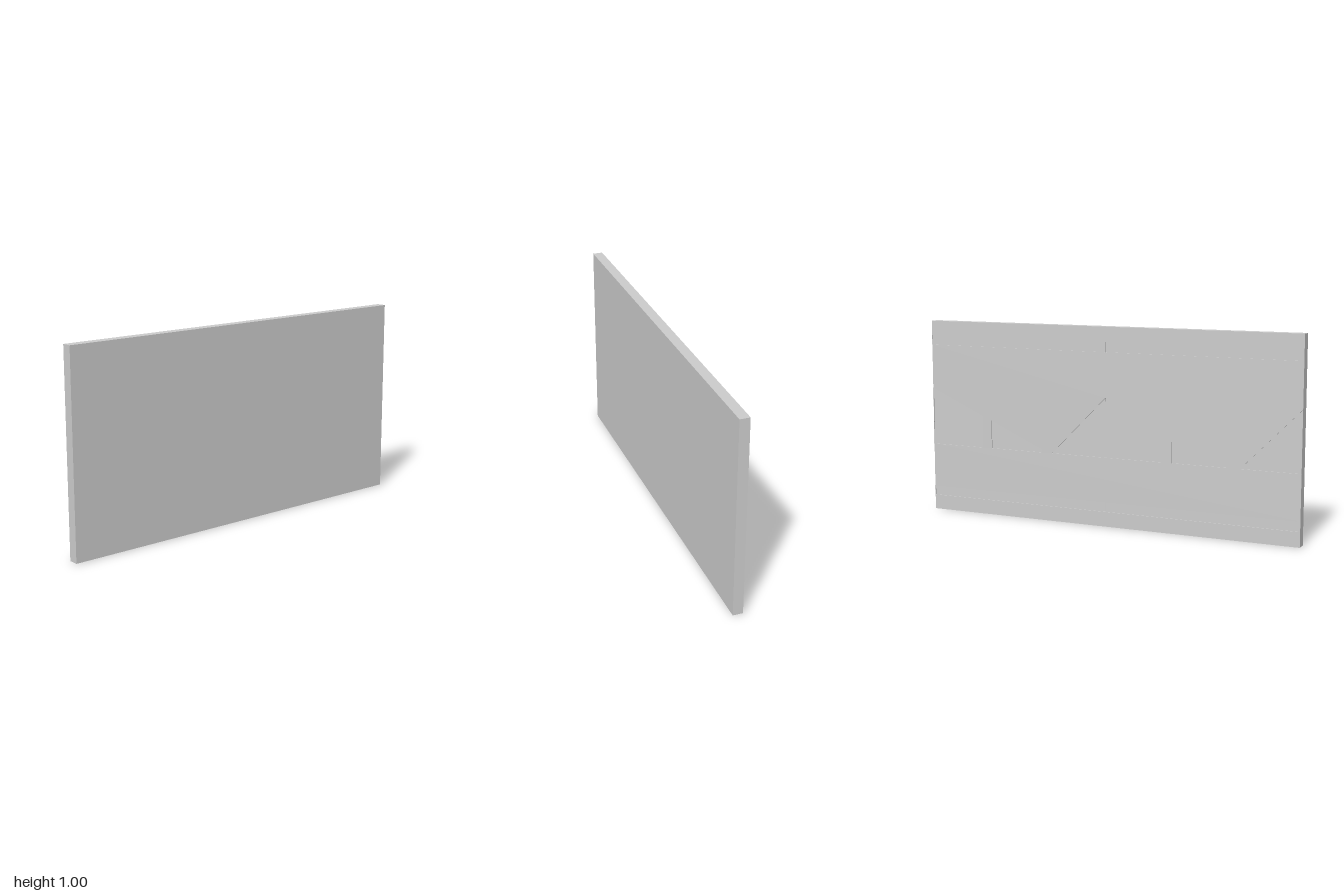
import * as THREE from 'three';

const W = 2, H = 1, T = 0.05; // panel size
const DEPTH = 0.005;          // depth of the grooves in the back
const RIB = 0.001;            // half thickness of the ribs between the repeats

// Outlines of one repeat: u runs from 0 to 1 towards -x, v is height
const grooves = [
  [[RIB, 0.875], [1 - RIB, 0.875], [1 - RIB, 0.925], [RIB, 0.925]],  // upper band
  [[RIB, 0.075], [1 - RIB, 0.075], [1 - RIB, 0.125], [RIB, 0.125]],  // lower band
  [[RIB, 0.35], [0.3, 0.35], [0.3, 0.518], [RIB, 0.65]],             // tall wedge
  [[0.35, 0.35], [0.647, 0.35], [0.647, 0.367], [0.35, 0.497]],      // low wedge
  [[0.7, 0.35], [1 - RIB, 0.35], [1 - RIB, 0.65]],                   // rising triangle
];

export function createModel() {
  const group = new THREE.Group();
  group.name = 'wallPanel';
  const material = new THREE.MeshStandardMaterial({ color: 0xcccccc, flatShading: true });

  // Solid slab with the plain front
  const slab = new THREE.Mesh(new THREE.BoxGeometry(W, H, T - DEPTH), material);
  slab.name = 'slab';
  slab.position.set(0, H / 2, DEPTH / 2);
  group.add(slab);

  // Back layer, cut through by two repeats of the grooves
  const shape = new THREE.Shape([[-1, 0], [1, 0], [1, H], [-1, H]].map(p => new THREE.Vector2(...p)));
  for (const start of [1, 0]) {
    for (const outline of grooves) {
      shape.holes.push(new THREE.Path(outline.map(([u, v]) => new THREE.Vector2(start - u, v))));
    }
  }
  const back = new THREE.Mesh(
    new THREE.ExtrudeGeometry(shape, { depth: DEPTH, bevelEnabled: false }), material);
  back.name = 'groovedBack';
  back.position.z = -T / 2;
  group.add(back);

  return group;
}
